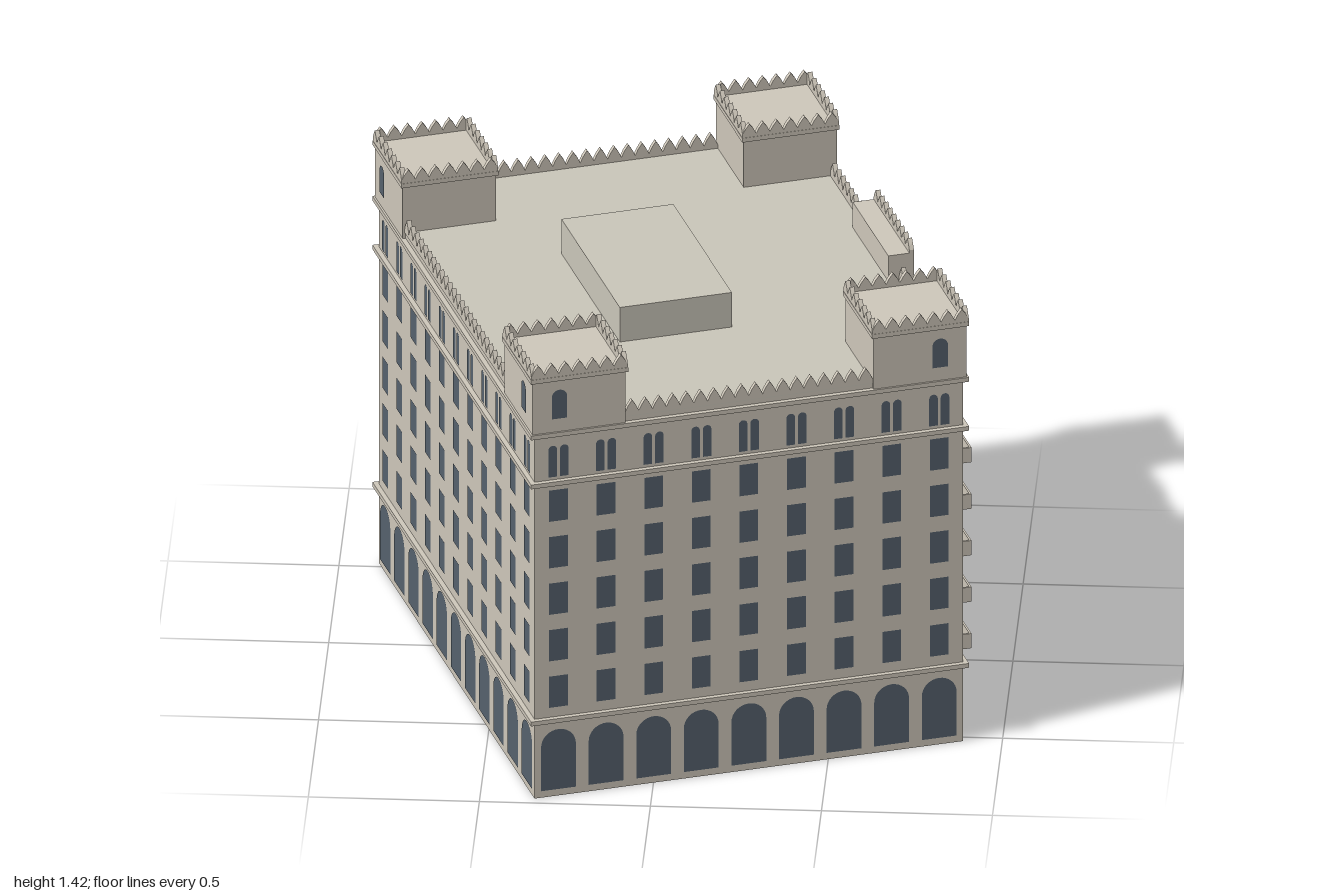
import * as THREE from 'three';
import { mergeGeometries } from 'three/addons/utils/BufferGeometryUtils.js';

const W = 0.652, D = 0.796;          // half width and half depth of the walls
const STEP = 0.1449;                 // window column spacing
const FLOOR = 0.245, ROOF = 1.212;   // top of the hollow ground floor, roof level
const BAY = 0.686, BAY_HALF = 0.182; // front plane and half width of the entrance bay

export function createModel() {
  const mat = (name, color) => new THREE.MeshStandardMaterial({ name, color });
  const stone = mat('stone', 0xcfc8bb);
  const roofing = mat('roofing', 0xcbc7ba);
  const glass = mat('window glass', 0x55616d);

  const root = new THREE.Group();
  root.name = 'building';
  const block = new THREE.Group();
  block.name = 'hotelBlock';
  block.rotation.y = THREE.MathUtils.degToRad(20);
  root.add(block);

  const add = (parent, name, geo, material) => {
    const m = new THREE.Mesh(geo, material);
    m.name = name;
    parent.add(m);
    return m;
  };
  // box given by its limits
  const boxGeo = (x0, x1, y0, y1, z0, z1) =>
    new THREE.BoxGeometry(x1 - x0, y1 - y0, z1 - z0)
      .translate((x0 + x1) / 2, (y0 + y1) / 2, (z0 + z1) / 2);

  // flat pane, square or round-headed, facing +z
  const pane = (x, y, z, w, h, arched) => {
    const s = new THREE.Shape();
    const r = w / 2, spring = arched ? h - r : h;
    s.moveTo(-r, 0);
    s.lineTo(r, 0);
    s.lineTo(r, spring);
    if (arched) s.absarc(0, spring, r, 0, Math.PI, false);
    else s.lineTo(-r, h);
    s.closePath();
    return new THREE.ShapeGeometry(s, 8).translate(x, y, z);
  };

  // row of pointed merlons standing along x, centred on cx, with its front at z
  const spikes = (cx, y, z, length, height) => {
    const n = Math.round(length / 0.041), p = length / n, base = height * 0.25;
    const s = new THREE.Shape();
    s.moveTo(-length / 2, 0);
    s.lineTo(length / 2, 0);
    for (let i = n; i > 0; i--) {
      const x = -length / 2 + i * p;
      s.lineTo(x, base);
      s.lineTo(x - p * 0.2, height * 0.62);
      s.lineTo(x - p / 2, height);
      s.lineTo(x - p * 0.8, height * 0.62);
    }
    s.lineTo(-length / 2, base);
    s.closePath();
    return new THREE.ExtrudeGeometry(s, { depth: 0.014, bevelEnabled: false })
      .translate(cx, y, z - 0.014);
  };

  // main volume over an open ground floor
  add(block, 'upperWalls', boxGeo(-W, W, FLOOR, ROOF - 0.004, -D, D), stone);
  add(block, 'roof', boxGeo(-W, W, ROOF - 0.004, ROOF, -D, D), roofing);
  add(block, 'groundFloorWalls', mergeGeometries([
    boxGeo(-W, W, 0, FLOOR, D - 0.01, D),
    boxGeo(-W, W, 0, FLOOR, -D, -D + 0.01),
    boxGeo(W - 0.01, W, 0, FLOOR, -D, D),
    boxGeo(-W, -W + 0.01, 0, FLOOR, -D, D),
  ]), stone);

  // string courses and cornice
  for (const [name, y] of [['lowerStringCourse', 0.245], ['upperStringCourse', 1.02], ['cornice', 1.18]])
    add(block, name, boxGeo(-W - 0.015, W + 0.015, y, y + 0.014, -D - 0.015, D + 0.015), stone);

  // rooftop plant room
  add(block, 'penthouse', boxGeo(-0.255, 0.086, ROOF, 1.325, -0.262, 0.335), roofing);

  // entrance bay on the right side, open below like the ground floor
  add(block, 'entranceBay', mergeGeometries([
    boxGeo(0.608, BAY, FLOOR, 1.295, -BAY_HALF, BAY_HALF),
    boxGeo(BAY - 0.006, BAY, 0, FLOOR, -BAY_HALF, BAY_HALF),
    boxGeo(W, BAY, 0, FLOOR, BAY_HALF - 0.006, BAY_HALF),
    boxGeo(W, BAY, 0, FLOOR, -BAY_HALF, -BAY_HALF + 0.006),
  ]), stone);
  add(block, 'entranceCanopy', boxGeo(BAY - 0.002, 0.768, 0.186, 0.197, -0.12, 0.12), stone);

  // balcony tray: slab, front and two sides
  const balcony = (x, y, z) => {
    const h = 0.047, d = 0.034, top = y + 0.048;
    return [
      boxGeo(x - h, x + h, y, y + 0.008, z - 0.002, z + d),
      boxGeo(x - h, x + h, y, top, z + d - 0.006, z + d),
      boxGeo(x - h, x - h + 0.006, y, top, z - 0.002, z + d),
      boxGeo(x + h - 0.006, x + h, y, top, z - 0.002, z + d),
    ];
  };

  // the four fronts, each built facing +z and then turned
  const fronts = [
    { name: 'front', turn: 0, dist: D, half: W, cols: 9 },
    { name: 'right', turn: 1, dist: W, half: D, cols: 11, balconies: true, bay: true },
    { name: 'back', turn: 2, dist: D, half: W, cols: 9, balconies: true },
    { name: 'left', turn: 3, dist: W, half: D, cols: 11 },
  ];
  for (const f of fronts) {
    const side = new THREE.Group();
    side.name = f.name + 'Facade';
    side.rotation.y = f.turn * Math.PI / 2;
    block.add(side);
    const arches = [], windows = [], trays = [];
    const mid = (f.cols - 1) / 2;
    for (let c = 0; c < f.cols; c++) {
      const k = c - mid, x = k * STEP;
      const onBay = f.bay && Math.abs(k) <= 1;
      const wall = onBay ? BAY : f.dist, z = wall + 0.002;
      arches.push(pane(onBay ? k * 0.127 : x, 0.022, z, 0.106, 0.196, true));
      for (let row = 0; row < 5; row++) {
        const y = 0.291 + row * 0.152;
        windows.push(pane(x, y, z, 0.057, 0.102, false));
        // alternate floors keep only the end and middle balconies
        const kept = row % 2 === 0 || Math.abs(k) === mid || Math.abs(k) <= mid - 3;
        if (f.balconies && kept) trays.push(...balcony(x, y - 0.004, wall));
      }
      for (const s of [-1, 1])
        windows.push(pane(x + s * 0.0175, 1.044, z, 0.026, 0.102, true));
    }
    // one arched window on each corner tower
    for (const s of [-1, 1])
      windows.push(pane(s * mid * STEP, 1.238, f.dist + 0.012, 0.047, 0.094, true));
    add(side, 'groundArches', mergeGeometries(arches), glass);
    add(side, 'windows', mergeGeometries(windows), glass);
    if (trays.length) add(side, 'balconies', mergeGeometries(trays), stone);

    // parapet between the towers, broken by the bay
    const run = f.half - 0.275;
    const parapet = f.bay
      ? [-1, 1].map(s => spikes(s * (run + BAY_HALF) / 2, ROOF, f.dist + 0.003, run - BAY_HALF, 0.05))
          .concat(spikes(0, 1.294, BAY, BAY_HALF * 2, 0.04))
      : [spikes(0, ROOF, f.dist + 0.003, run * 2, 0.05)];
    add(side, 'parapet', mergeGeometries(parapet), stone);
  }

  // corner towers with overhanging caps and crenellation
  for (const sx of [-1, 1]) for (const sz of [-1, 1]) {
    const tower = new THREE.Group();
    tower.name = 'cornerTower';
    tower.position.set(sx * 0.519, 0, sz * 0.663);
    block.add(tower);
    add(tower, 'towerWalls', boxGeo(-0.142, 0.142, 1.194, 1.362, -0.142, 0.142), stone);
    add(tower, 'towerCap', boxGeo(-0.148, 0.148, 1.362, 1.376, -0.148, 0.148), stone);
    const crown = [0, 1, 2, 3].map(i =>
      spikes(0, 1.375, 0.147, 0.294, 0.044).rotateY(i * Math.PI / 2));
    add(tower, 'towerCrown', mergeGeometries(crown), stone);
  }
  return root;
}
